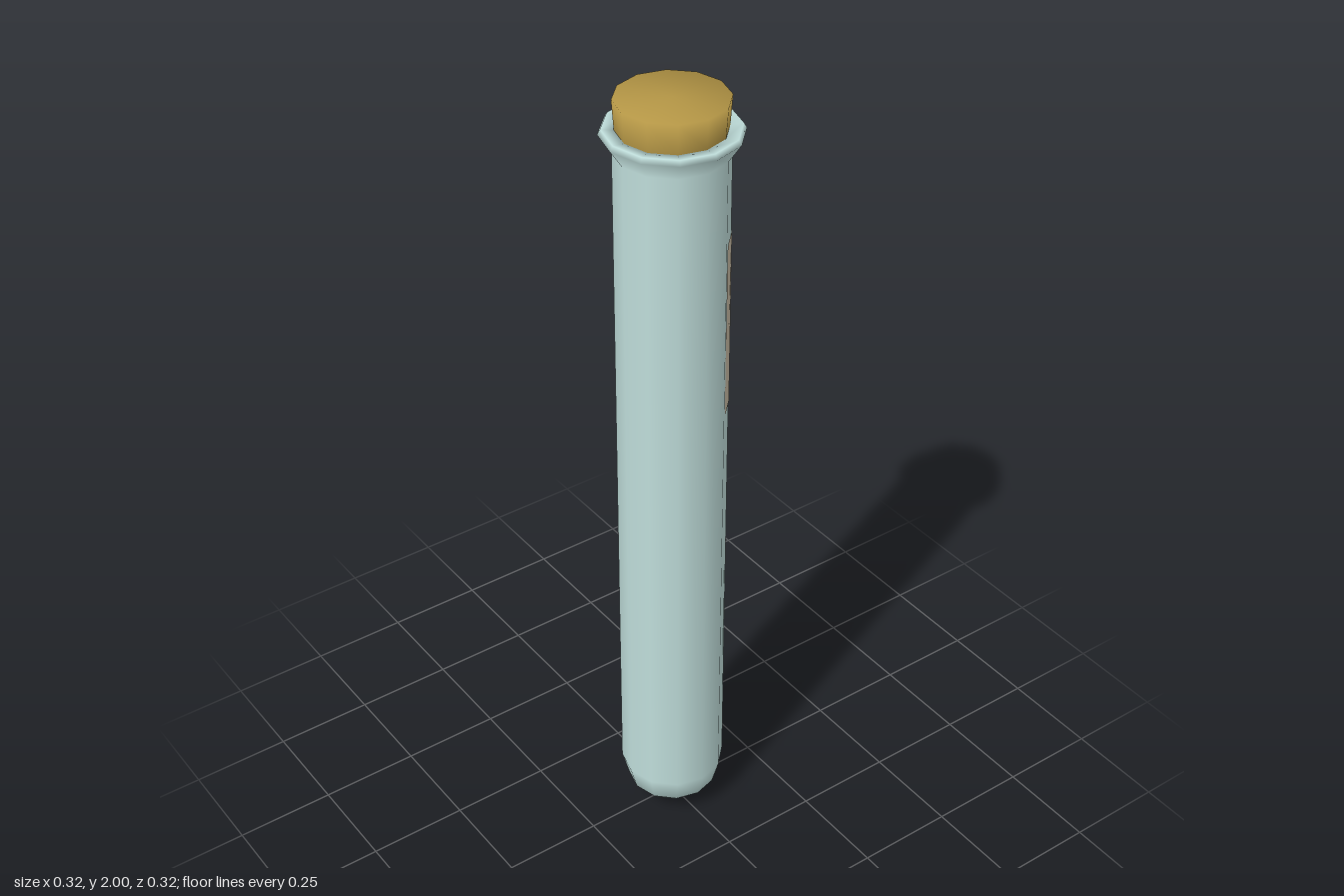
import * as THREE from 'three';

const SIDES = 12;

const material = (name, color, side = THREE.FrontSide) => {
  const m = new THREE.MeshStandardMaterial({ color, side });
  m.name = name;
  return m;
};

// Twelve-sided turned part; the profile runs from the bottom up the outside
function turned(name, profile, mat) {
  const points = profile.map(([r, y]) => new THREE.Vector2(r, y));
  const mesh = new THREE.Mesh(new THREE.LatheGeometry(points, SIDES), mat);
  mesh.name = name;
  return mesh;
}

// Thin label lying on the facets of the tube, with rounded corners.
// u counts facets from the middle of the label.
function labelGeometry(radius, bottom, top) {
  const corner = (u) => new THREE.Vector2(radius, 0).rotateAround(new THREE.Vector2(), (u * 2 * Math.PI) / SIDES);
  const columns = [[-2, 0.016], [-1.93, 0.005], [-1.78, 0], [-1, 0], [0, 0], [1, 0], [1.78, 0], [1.93, 0.005], [2, 0.016]];
  const positions = [];
  const index = [];
  columns.forEach(([u, inset], i) => {
    const f = Math.floor(u);
    const p = corner(f).lerp(corner(f + 1), u - f);
    positions.push(p.x, bottom + inset, p.y, p.x, top - inset, p.y);
    if (i > 0) {
      const a = 2 * (i - 1);
      index.push(a, a + 1, a + 2, a + 1, a + 3, a + 2);
    }
  });
  const g = new THREE.BufferGeometry();
  g.setAttribute('position', new THREE.Float32BufferAttribute(positions, 3));
  g.setIndex(index);
  g.computeVertexNormals();
  return g;
}

export function createModel() {
  const glass = material('pale glass', 0xc0dedb, THREE.DoubleSide);
  const cork = material('cork', 0xb39545);
  const paper = material('label paper', 0xc8bca4, THREE.DoubleSide);

  const model = new THREE.Group();
  model.name = 'stopperedTube';

  // Tube with round bottom, flared lip and a short inner neck
  const R = 0.13;
  const profile = [];
  for (let i = 0; i <= 3; i++) {
    const a = (i * Math.PI) / 6;
    profile.push([R * Math.sin(a), R * (1 - Math.cos(a))]);
  }
  profile.push([R, 1.875], [0.16, 1.92], [0.153, 1.932], [0.122, 1.928], [0.118, 1.86]);
  model.add(turned('glassTube', profile, glass));

  // Slightly tapered stopper
  model.add(turned('corkStopper', [[0, 1.86], [0.117, 1.86], [0.124, 1.93], [0.129, 2], [0, 2]], cork));

  // Label on the left side
  const label = new THREE.Mesh(labelGeometry(R + 0.0015, 1.22, 1.67), paper);
  label.name = 'label';
  model.add(label);

  return model;
}
